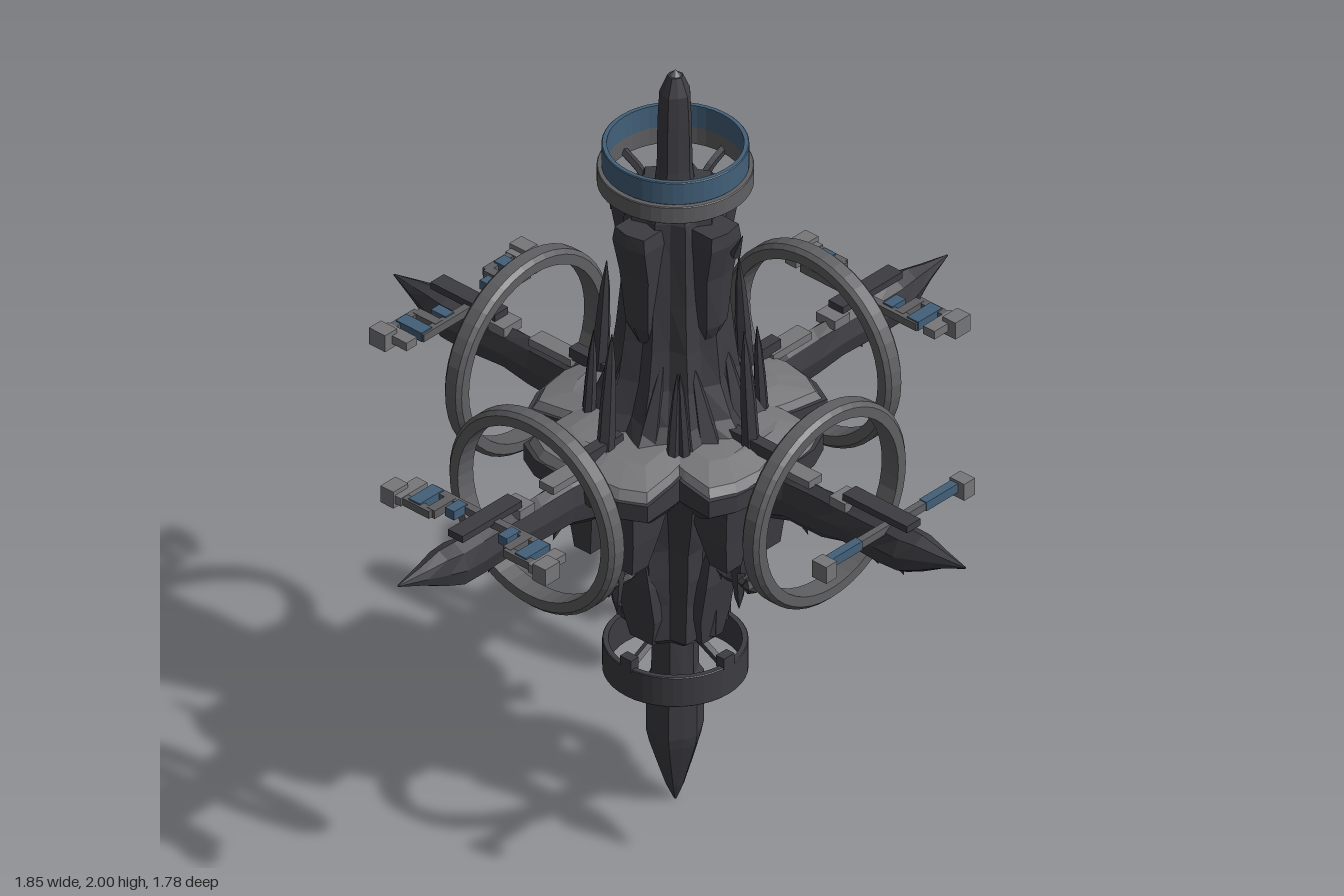
import * as THREE from 'three';

const mat = (name, color) => Object.assign(new THREE.MeshStandardMaterial({ color }), { name });

export function createModel() {
  const hull = mat('dark hull', 0x3d3c41);
  const metal = mat('ring metal', 0x606063);
  const deckGrey = mat('deck grey', 0x77777a);
  const blue = mat('steel blue', 0x426079);

  const root = new THREE.Group();
  root.name = 'station';
  const core = new THREE.Group();
  core.name = 'core';
  core.position.set(0.005, 0, -0.012);
  root.add(core);

  let seed = 7;
  const rnd = () => (seed = (seed * 16807) % 2147483647) / 2147483647;

  // Facetted normals on every part
  const flat = (g) => {
    const f = g.index ? g.toNonIndexed() : g;
    f.computeVertexNormals();
    return f;
  };
  const add = (parent, name, geo, material, x = 0, y = 0, z = 0) => {
    const m = new THREE.Mesh(flat(geo), material);
    m.name = name;
    m.position.set(x, y, z);
    parent.add(m);
    return m;
  };
  const box = (parent, name, material, w, h, d, x, y, z) =>
    add(parent, name, new THREE.BoxGeometry(w, h, d), material, x, y, z);

  // Skin over equal-sized loops of points, capped at both ends
  const loft = (loops) => {
    const n = loops[0].length, pos = [], idx = [];
    loops.forEach((l) => l.forEach((p) => pos.push(...p)));
    for (let s = 0; s < loops.length - 1; s++)
      for (let i = 0; i < n; i++) {
        const a = s * n + i, b = s * n + (i + 1) % n;
        idx.push(a, b, a + n, b, b + n, a + n);
      }
    const e = (loops.length - 1) * n;
    for (let i = 1; i < n - 1; i++) idx.push(0, i + 1, i, e, e + i, e + i + 1);
    const g = new THREE.BufferGeometry();
    g.setAttribute('position', new THREE.Float32BufferAttribute(pos, 3));
    g.setIndex(idx);
    return g;
  };

  const lathe = (pts, seg) => new THREE.LatheGeometry(pts.map((p) => new THREE.Vector2(...p)), seg);
  // Hoop around the y axis with bevelled outer edges of size c
  const hoop = (ri, ro, y0, y1, c = 0.002) => lathe([[ri, y0], [ro - c, y0], [ro, y0 + c], [ro, y1 - c],
    [ro - c, y1], [ri, y1], [ri, y0]], 44);
  // Blade-like spike that keeps its width before the point
  const spikeGeo = (r, h) => lathe([[r, 0], [r * 0.85, h * 0.4], [r * 0.55, h * 0.75], [0.001, h]], 6);

  // Column with rough vertical ribs, from [radius, y] pairs
  const ribbed = (profile, sides, depth) => {
    const ribs = Array.from({ length: sides }, (_, i) => (i % 2 ? -depth : depth * 0.7) * (0.5 + rnd()));
    return loft(profile.map(([r, y]) => ribs.map((k, i) => {
      const a = (i / sides) * Math.PI * 2;
      const rr = r * (1 + k + (rnd() - 0.5) * depth * 0.5);
      return [Math.sin(a) * rr, y, Math.cos(a) * rr];
    })));
  };

  // Central spire
  add(core, 'lowerSpike', ribbed([[0.003, 0], [0.022, 0.045], [0.042, 0.11], [0.06, 0.17], [0.066, 0.2],
    [0.066, 0.34], [0.055, 0.36], [0.055, 0.5]], 12, 0.06), hull);
  add(core, 'lowerColumn', ribbed([[0.09, 0.48], [0.115, 0.5], [0.12, 0.6], [0.135, 0.68], [0.14, 0.76],
    [0.165, 0.84], [0.19, 0.92], [0.21, 1.0]], 20, 0.08), hull);
  add(core, 'upperColumn', ribbed([[0.21, 1.05], [0.165, 1.12], [0.135, 1.2], [0.122, 1.3], [0.113, 1.42],
    [0.113, 1.55], [0.105, 1.64], [0.085, 1.69]], 20, 0.1), hull);
  add(core, 'upperSpike', ribbed([[0.05, 1.66], [0.042, 1.74], [0.04, 1.86], [0.036, 1.94], [0.018, 1.985]],
    10, 0.06), hull);
  add(core, 'spireTip', new THREE.ConeGeometry(0.018, 0.02, 8), metal, 0, 1.99, 0);

  // Spire rings
  add(core, 'lowerRing', hoop(0.153, 0.167, 0.36, 0.44), hull);
  add(core, 'upperRing', hoop(0.157, 0.18, 1.695, 1.74), metal);
  add(core, 'blueRing', hoop(0.157, 0.169, 1.74, 1.8), blue);

  // Arm: [distance, top, bottom, half width]
  const armRows = [[0.15, 1.08, 0.89, 0.055], [0.28, 1.07, 0.9, 0.045], [0.36, 1.06, 0.925, 0.03],
    [0.46, 1.06, 0.925, 0.028], [0.54, 1.06, 0.945, 0.032], [0.66, 1.065, 0.94, 0.038], [0.73, 1.07, 0.95, 0.046],
    [0.78, 1.068, 0.97, 0.038], [0.84, 1.055, 1.005, 0.022], [0.915, 1.042, 1.038, 0.002]];
  const armGeo = () => loft(armRows.map(([z, t, b, w]) => {
    const c = (t + b) / 2, h = (t - b) / 2;
    return Array.from({ length: 8 }, (_, i) => {
      const a = i * Math.PI / 4, j = 1 + (rnd() - 0.5) * 0.12;
      return [Math.cos(a) * w * j, c + Math.sin(a) * h * j, z];
    });
  }));

  // Hub lobe outline [x, z], shrunk per level
  const outline = [[-0.13, 0.315], [-0.05, 0.325], [0, 0.312], [0.05, 0.325], [0.13, 0.315], [0.193, 0.285],
    [0.188, 0.2], [0.16, 0.04], [-0.16, 0.04], [-0.188, 0.2], [-0.193, 0.285]];
  const level = (y, sx, sz, slope = 0) =>
    outline.map(([x, z]) => [x * sx, y - slope * (z - 0.04) - Math.abs(x) * slope * 0.5, z * sz]);

  for (let k = 0; k < 4; k++) {
    const sideways = k % 2 === 1;
    const side = new THREE.Group();
    side.name = ['front', 'left', 'back', 'right'][k] + 'Side';
    side.rotation.y = k * Math.PI / 2;
    core.add(side);

    // Arm, its pale neck plate and small surface blocks
    const arm = add(side, 'arm', armGeo(), hull);
    arm.scale.z = [0.985, 1, 0.955, 1.02][k];
    box(side, 'neckPlate', deckGrey, 0.045, 0.02, 0.13, 0, 1.065, 0.37);
    box(side, 'armBlock', deckGrey, 0.06, 0.025, 0.05, 0, 1.06, 0.53);
    box(side, 'armTopPlate', hull, 0.045, 0.018, 0.2, 0, 1.082, 0.64);
    for (const [z, y, h] of [[0.4, 0.93, 0.05], [0.62, 0.945, 0.04], [0.7, 0.95, 0.04]])
      add(side, 'armBarb', new THREE.ConeGeometry(0.015, h, 5), hull, 0, y, z).rotation.x = 2.6;

    // Large ring around the arm
    add(side, 'armRing', hoop(0.222, 0.257, -0.026, 0.026, 0.01), metal, 0, 1.02, sideways ? 0.466 : 0.462)
      .rotation.x = Math.PI / 2;

    // Cross bracket with blue panels: a single bar in front, open frames elsewhere
    for (const s of [-1, 1]) {
      if (k === 0) {
        box(side, 'bracketRail', metal, 0.1, 0.02, 0.018, s * 0.06, 1.055, 0.67);
        box(side, 'bracketPanel', blue, 0.105, 0.024, 0.022, s * 0.16, 1.055, 0.67);
        box(side, 'bracketEnd', deckGrey, 0.036, 0.045, 0.045, s * 0.232, 1.05, 0.677);
        continue;
      }
      box(side, 'bracketEnd', deckGrey, 0.04, 0.045, 0.05, s * 0.236, 1.07, 0.69);
      box(side, 'bracketEndPlate', deckGrey, 0.035, 0.022, 0.09, s * 0.215, 1.07, 0.665);
      box(side, 'bracketRail', metal, 0.1, 0.02, 0.02, s * 0.165, 1.07, 0.695);
      box(side, 'bracketInnerRail', metal, 0.17, 0.02, 0.02, s * 0.095, 1.07, 0.625);
      box(side, 'bracketPanel', blue, 0.035, 0.024, 0.08, s * 0.165, 1.072, 0.66);
      box(side, 'bracketTie', metal, 0.024, 0.022, 0.07, s * 0.118, 1.07, 0.66);
      box(side, 'bracketSmallPanel', blue, 0.028, 0.024, 0.045, s * 0.082, 1.072, 0.648);
    }

    // Hub lobe with a sloping pale deck
    const lobe = new THREE.Group();
    lobe.name = 'lobe';
    lobe.scale.z = sideways ? 1.06 : 0.99;
    side.add(lobe);
    add(lobe, 'hubLobe', loft([level(0.88, 0.45, 0.55), level(0.95, 0.8, 0.85), level(0.99, 1, 1),
      level(1.075, 1, 1, 0.12)]), hull);
    add(lobe, 'hubDeck', loft([level(1.073, 0.96, 0.98, 0.12), level(1.09, 0.9, 0.94, 0.1),
      level(1.105, 0.6, 0.75, 0.08)]), deckGrey);
    box(lobe, 'deckRidge', hull, 0.03, 0.03, 0.14, 0, 1.085, 0.25);

    // Hanging plates below the lobe
    for (const s of [-1, 1])
      add(side, 'hangingPlate', loft([[0.77, 0.025, 0.19, 0.243], [0.85, 0.035, 0.16, 0.25],
        [0.97, 0.045, 0.12, 0.262]].map(([y, w, a, b]) =>
        [[-w, y, b], [w, y, b], [w, y, a], [-w, y, a]])), hull, s * 0.065, 0, 0);

    // Tall and short deck spikes
    const spike = (x, z, y, h, r) =>
      add(side, 'deckSpike', spikeGeo(r, h), hull, x, y, z).rotation.x = -0.07;
    spike(0, 0.235, 1.07, 0.31, 0.022);
    for (const s of [-1, 1]) spike(s * 0.13, 0.15, 1.06, 0.23, 0.016);

    // Buttresses at the foot of the upper column
    for (const s of [-1, 1])
      add(side, 'buttress', new THREE.ConeGeometry(0.035, 0.24, 5), hull, s * 0.055, 1.18, 0.125).rotation.x = -0.25;

    // Armour slab on the upper column
    add(side, 'upperSlab', loft([[1.31, 0.02, 0.12], [1.36, 0.035, 0.14], [1.5, 0.045, 0.15], [1.59, 0.05, 0.168],
      [1.625, 0.045, 0.165]].map(([y, w, b]) =>
      [[-w, y, b - 0.01], [0, y, b], [w, y, b - 0.01], [w, y, 0.06], [-w, y, 0.06]])), hull);
    if (!sideways)
      add(side, 'slabHook', new THREE.ConeGeometry(0.014, 0.07, 5), hull, 0.02, 1.59, 0.18).rotation.x = 0.35;

    // Armour slab on the lower column
    add(side, 'lowerSlab', loft([[0.49, 0.035, 0.115], [0.56, 0.05, 0.125], [0.66, 0.05, 0.142],
      [0.76, 0.03, 0.14]].map(([y, w, b]) => [[-w, y, b], [w, y, b], [w, y, 0.05], [-w, y, 0.05]])), hull);

    // Claw strut below the hub
    const strut = new THREE.CatmullRomCurve3([[0, 0.73, 0.1], [0, 0.69, 0.16], [0, 0.695, 0.21],
      [0, 0.68, 0.24]].map((p) => new THREE.Vector3(...p)));
    add(side, 'clawStrut', new THREE.TubeGeometry(strut, 8, 0.015, 6), hull);
    add(side, 'clawKnob', new THREE.IcosahedronGeometry(0.022), hull, 0, 0.69, 0.235);
    add(side, 'claw', spikeGeo(0.02, 0.13), hull, 0, 0.74, 0.198).rotation.x = Math.PI;
    add(side, 'clawRoot', new THREE.CylinderGeometry(0.024, 0.018, 0.12, 6), hull, 0, 0.78, 0.208);

    // Struts that hold the spire rings
    const tie = (pts) => add(side, 'ringStrut', new THREE.TubeGeometry(
      new THREE.CatmullRomCurve3(pts.map((p) => new THREE.Vector3(0, ...p))), 6, 0.011, 5), hull);
    tie([[1.64, 0.08], [1.675, 0.11], [1.705, 0.165]]);
    tie([[0.48, 0.06], [0.455, 0.11], [0.43, 0.158]]);
    box(side, 'ringClamp', hull, 0.035, 0.03, 0.025, 0, 0.45, 0.155);
  }

  return root;
}
